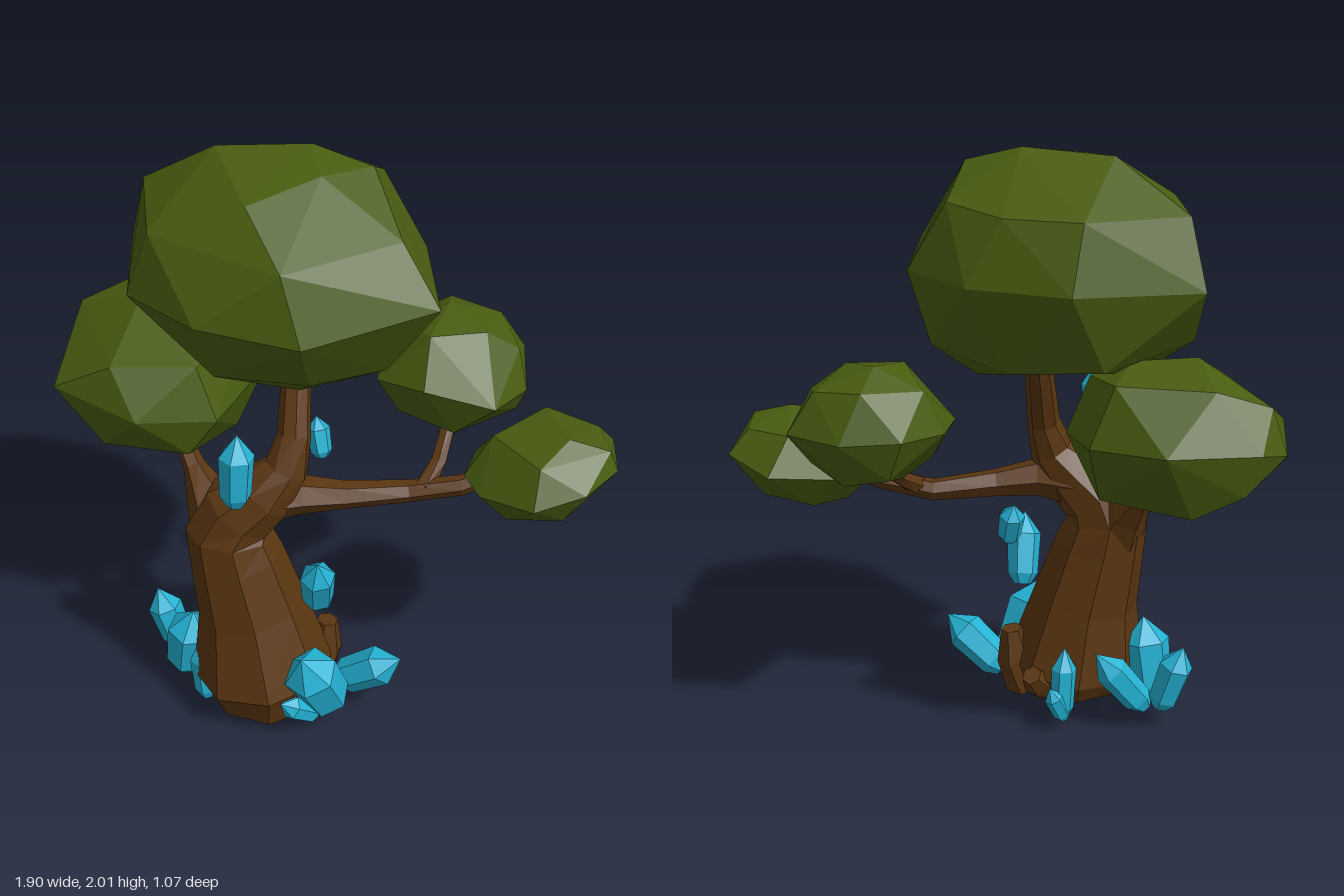
import * as THREE from 'three';
import { ConvexGeometry } from 'three/addons/geometries/ConvexGeometry.js';

const V = (x, y, z) => new THREE.Vector3(x, y, z);
const mat = (name, color) => {
  const m = new THREE.MeshStandardMaterial({ color });
  m.name = name;
  return m;
};

// Faceted skin around a path of [x, y, z, radius] stations, closed at both ends
function loft(stations, sides) {
  const path = stations.map(s => V(s[0], s[1], s[2]));
  const pos = [], index = [], n = stations.length;
  path.forEach((p, i) => {
    const t = path[Math.min(i + 1, n - 1)].clone().sub(path[Math.max(i - 1, 0)]).normalize();
    const u = t.clone().cross(V(0, 0, 1)).normalize();
    const v = u.clone().cross(t);
    for (let j = 0; j < sides; j++) {
      const a = ((j + 0.5) / sides) * Math.PI * 2, r = stations[i][3];
      const q = p.clone().addScaledVector(u, Math.cos(a) * r).addScaledVector(v, Math.sin(a) * r);
      pos.push(q.x, q.y, q.z);
    }
  });
  for (let i = 0; i < n - 1; i++) {
    for (let j = 0; j < sides; j++) {
      const a = i * sides + j, b = i * sides + ((j + 1) % sides);
      index.push(a, a + sides, b, b, a + sides, b + sides);
    }
  }
  const top = (n - 1) * sides;
  for (let j = 1; j < sides - 1; j++) index.push(0, j, j + 1, top, top + j + 1, top + j);
  const geo = new THREE.BufferGeometry();
  geo.setAttribute('position', new THREE.Float32BufferAttribute(pos, 3));
  geo.setIndex(index);
  const flat = geo.toNonIndexed();
  flat.computeVertexNormals();
  return flat;
}

// Faceted leaf mass spanned by its main corners
const crown = corners => new ConvexGeometry(corners.map(p => V(...p)));

export function createModel() {
  const bark = mat('bark brown', 0x5a3611);
  const leaf = mat('leaf green', 0x485c10);
  const gem = mat('crystal blue', 0x24b2d4);
  const group = new THREE.Group();
  const add = (name, geo, material) => {
    const mesh = new THREE.Mesh(geo, material);
    mesh.name = name;
    group.add(mesh);
  };

  // Trunk, running on into the upper branch
  add('trunk', loft([
    [-0.17, 0.012, 0.265, 0.09], [-0.16, 0.05, 0.27, 0.2], [-0.16, 0.15, 0.27, 0.243],
    [-0.2, 0.4, 0.26, 0.185], [-0.247, 0.6, 0.26, 0.158], [-0.27, 0.71, 0.26, 0.145],
    [-0.235, 0.79, 0.25, 0.13], [-0.15, 0.865, 0.235, 0.105], [-0.085, 0.95, 0.205, 0.076],
    [-0.07, 1.06, 0.165, 0.056], [-0.09, 1.32, 0.05, 0.044]], 8), bark);

  // Side branches
  add('leftBranch', loft([
    [-0.29, 0.64, 0.25, 0.115], [-0.355, 0.76, 0.2, 0.082],
    [-0.43, 0.85, 0.14, 0.038], [-0.51, 0.95, 0.07, 0.026]], 6), bark);
  add('rightBranch', loft([
    [-0.18, 0.84, 0.23, 0.095], [-0.04, 0.845, 0.19, 0.066], [0.09, 0.827, 0.13, 0.048],
    [0.28, 0.81, 0.03, 0.038], [0.45, 0.84, -0.01, 0.035], [0.56, 0.88, -0.05, 0.03]], 6), bark);
  add('rightTwig', loft([
    [0.33, 0.82, 0.02, 0.036], [0.36, 0.88, -0.07, 0.028], [0.37, 0.99, -0.22, 0.025]], 6), bark);

  // Stumps of lost boughs low on the trunk
  add('sideStump', loft([
    [-0.01, 0.06, 0.18, 0.08], [0.025, 0.17, 0.15, 0.066], [0.035, 0.28, 0.14, 0.038]], 6), bark);
  add('rearStump', loft([
    [-0.11, 0.1, 0.12, 0.06], [-0.09, 0.13, 0.06, 0.052], [-0.085, 0.17, 0.025, 0.035]], 6), bark);

  // Crowns
  add('topCrown', crown([
    [-0.05, 2, 0], [-0.34, 1.98, 0.05], [0.14, 1.95, 0], [0.02, 1.97, 0.15], [-0.15, 1.94, 0.34],
    [-0.6, 1.82, 0], [0.28, 1.82, 0.2], [-0.45, 1.82, 0.35], [0, 1.82, 0.49], [-0.1, 1.83, -0.29],
    [0.12, 1.85, -0.2], [-0.35, 1.83, -0.27], [-0.67, 1.6, -0.05], [0.41, 1.64, 0.25],
    [0.07, 1.61, 0.53], [-0.25, 1.63, 0.53], [-0.53, 1.6, 0.35], [-0.34, 1.62, -0.34],
    [0, 1.62, -0.34], [0.27, 1.62, -0.17], [0.24, 1.38, 0.2], [0.1, 1.25, 0], [-0.05, 1.23, 0.16],
    [-0.42, 1.28, 0.1], [-0.6, 1.41, 0.1], [-0.24, 1.4, 0.41], [0.05, 1.4, 0.38],
    [-0.1, 1.34, -0.25], [-0.4, 1.36, -0.2], [0.2, 1.38, -0.15]]), leaf);
  add('leftCrown', crown([
    [-0.95, 1.13, -0.09], [-0.9, 1.28, -0.1], [-0.9, 1.16, -0.21], [-0.65, 1.17, -0.37],
    [-0.39, 1.15, -0.31], [-0.25, 1.13, -0.12], [-0.31, 1.31, -0.07], [-0.64, 1.385, 0],
    [-0.45, 1.375, -0.08], [-0.87, 1.14, 0.23], [-0.54, 1.13, 0.345], [-0.31, 1.1, 0.22],
    [-0.65, 1.27, 0.26], [-0.75, 1.34, -0.2], [-0.45, 1.34, -0.25], [-0.34, 0.91, -0.05],
    [-0.55, 0.88, 0], [-0.77, 0.92, 0.05], [-0.9, 1.05, 0.05], [-0.7, 0.96, 0.25],
    [-0.41, 0.96, 0.23], [-0.7, 0.94, -0.24], [-0.4, 0.96, -0.23], [-0.38, 1.28, 0.2],
    [-0.85, 1.02, -0.2]]), leaf);
  add('rearRightCrown', crown([
    [0.1, 1.13, -0.28], [0.16, 1.27, -0.3], [0.32, 1.34, -0.32], [0.47, 1.31, -0.22],
    [0.57, 1.23, -0.28], [0.61, 1.1, -0.24], [0.57, 0.98, -0.3], [0.4, 0.935, -0.28],
    [0.24, 0.97, -0.3], [0.34, 1.14, -0.54], [0.56, 1.13, -0.47], [0.54, 1.12, -0.06],
    [0.31, 1.17, -0.025], [0.13, 1.13, -0.12], [0.16, 1.15, -0.47], [0.3, 1.31, -0.14],
    [0.3, 1.29, -0.46], [0.48, 1.27, -0.43], [0.37, 0.98, -0.46], [0.4, 0.98, -0.1],
    [0.2, 1, -0.15], [0.22, 1.01, -0.44]]), leaf);
  add('farRightCrown', crown([
    [0.46, 0.89, 0], [0.54, 1.03, -0.05], [0.79, 1.075, -0.03], [0.92, 1.04, -0.05],
    [0.95, 0.97, -0.05], [0.91, 0.88, -0.1], [0.81, 0.79, -0.1], [0.565, 0.77, -0.05],
    [0.71, 0.92, -0.345], [0.91, 0.95, -0.255], [0.87, 0.95, 0.09], [0.72, 0.915, 0.175],
    [0.53, 0.88, 0.09], [0.47, 0.9, -0.13], [0.53, 0.9, -0.23], [0.72, 1.03, 0.1],
    [0.68, 1.04, -0.25], [0.86, 1.03, -0.2], [0.62, 0.785, 0.06], [0.8, 0.81, 0.05],
    [0.62, 0.785, -0.2], [0.8, 0.81, -0.22]]), leaf);

  // Crystals: [name, base, tip, radius]
  const crystals = [
    ['floatingCrystalFront', [-0.18, 0.95, 0.435], [-0.17, 1.21, 0.425], 0.057],
    ['floatingCrystalSide', [0.025, 0.42, 0.22], [0.05, 0.66, 0.31], 0.06],
    ['floatingCrystalRear', [-0.07, 0.75, -0.16], [-0.105, 0.89, -0.2], 0.042],
    ['leftCrystalOuter', [-0.51, 0.06, 0.17], [-0.585, 0.3, 0.17], 0.06],
    ['leftCrystalLarge', [-0.455, 0.05, 0.26], [-0.405, 0.335, 0.29], 0.083],
    ['leftCrystalFront', [-0.35, 0.004, 0.34], [-0.365, 0.25, 0.34], 0.045],
    ['leftCrystalRear', [-0.46, 0.06, 0.15], [-0.31, 0.28, 0.05], 0.057],
    ['rightCrystalLarge', [0.09, 0.06, 0.3], [0.03, 0.35, 0.44], 0.094],
    ['rightCrystalOuter', [0.09, 0.08, 0.21], [0.32, 0.245, 0.23], 0.07],
    ['rightCrystalSmall', [0.06, 0.055, 0.37], [-0.035, 0.16, 0.47], 0.042],
    ['rearCrystal', [-0.2, 0.03, 0.02], [-0.2, 0.29, 0.04], 0.044],
    ['rearCrystalSmall', [-0.21, 0.03, 0.02], [-0.17, 0.16, -0.03], 0.034],
  ];
  for (const [name, base, tip, r] of crystals) {
    const a = V(...base), b = V(...tip);
    const at = (t, k) => [...a.clone().lerp(b, t).toArray(), r * k];
    add(name, loft([at(0, 0.5), at(0.15, 0.9), at(0.7, 1), at(1, 0.02)], 6), gem);
  }
  return group;
}
